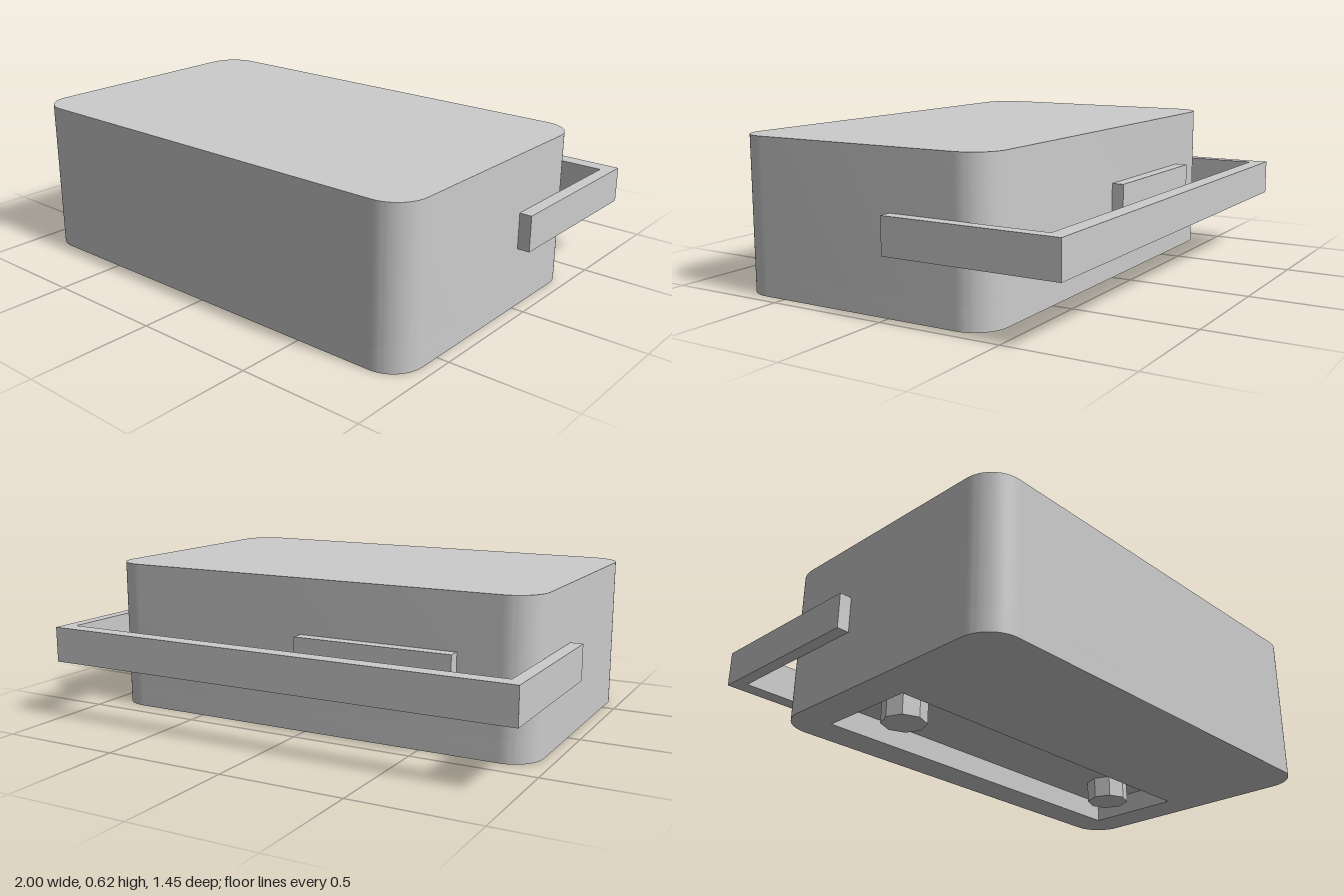
import * as THREE from 'three';
import { toCreasedNormals } from 'three/addons/utils/BufferGeometryUtils.js';

const grey = new THREE.MeshStandardMaterial({ color: 0xcccccc });

// Adds a named mesh to its parent
function add(parent, name, geometry, x = 0, y = 0, z = 0) {
  const mesh = new THREE.Mesh(geometry, grey);
  mesh.name = name;
  mesh.position.set(x, y, z);
  parent.add(mesh);
  return mesh;
}

// Rectangle outline in plan; shape y equals -z
function rectangle(PathType, x0, x1, z0, z1, r = 0) {
  const p = new PathType();
  const y0 = -z1, y1 = -z0;
  if (r === 0) {
    return p.moveTo(x0, y0).lineTo(x1, y0).lineTo(x1, y1).lineTo(x0, y1).closePath();
  }
  p.moveTo(x0 + r, y0);
  p.absarc(x1 - r, y0 + r, r, -Math.PI / 2, 0);
  p.absarc(x1 - r, y1 - r, r, 0, Math.PI / 2);
  p.absarc(x0 + r, y1 - r, r, Math.PI / 2, Math.PI);
  p.absarc(x0 + r, y0 + r, r, Math.PI, Math.PI * 1.5);
  return p;
}

// Plan outline extruded upwards, smooth round corners and sharp rims
function slab(shape, height) {
  const g = new THREE.ExtrudeGeometry(shape, { depth: height, bevelEnabled: false, curveSegments: 10 });
  g.rotateX(-Math.PI / 2);
  return toCreasedNormals(g, Math.PI / 6);
}

export function createModel() {
  const group = new THREE.Group();
  group.name = 'block';
  const height = 0.62, depth = 0.09;

  // Body: solid upper part over a rim that frames the underside recess
  const body = new THREE.Group();
  body.name = 'body';
  group.add(body);
  const outline = () => rectangle(THREE.Shape, -0.95, 0.95, -0.42, 0.72, 0.13);
  add(body, 'bodyUpper', slab(outline(), height - depth), 0, depth, 0);
  const rim = outline();
  rim.holes.push(rectangle(THREE.Path, -0.8, 0.8, -0.28, 0.13));
  add(body, 'bodyLowerRim', slab(rim, depth));

  // Eight-sided pegs inside the recess
  for (const [side, name] of [[1, 'leftPeg'], [-1, 'rightPeg']]) {
    const peg = new THREE.CylinderGeometry(0.09, 0.09, depth, 8).toNonIndexed();
    peg.computeVertexNormals();
    add(group, name, peg, side * 0.615, depth / 2 + 0.001, -0.075);
  }

  // U-shaped handle round the back
  const handle = rectangle(THREE.Shape, -1, 1, -0.73, -0.015);
  handle.curves = [];
  handle.moveTo(-1, 0.015).lineTo(-0.95, 0.015).lineTo(-0.95, 0.665).lineTo(0.95, 0.665)
    .lineTo(0.95, 0.015).lineTo(1, 0.015).lineTo(1, 0.73).lineTo(-1, 0.73).closePath();
  add(group, 'handle', slab(handle, 0.145), 0, 0.24, 0);

  // Raised plate on the back face
  add(group, 'backPlate', new THREE.BoxGeometry(0.665, 0.145, 0.05), -0.3175, 0.3225, -0.445);

  return group;
}
